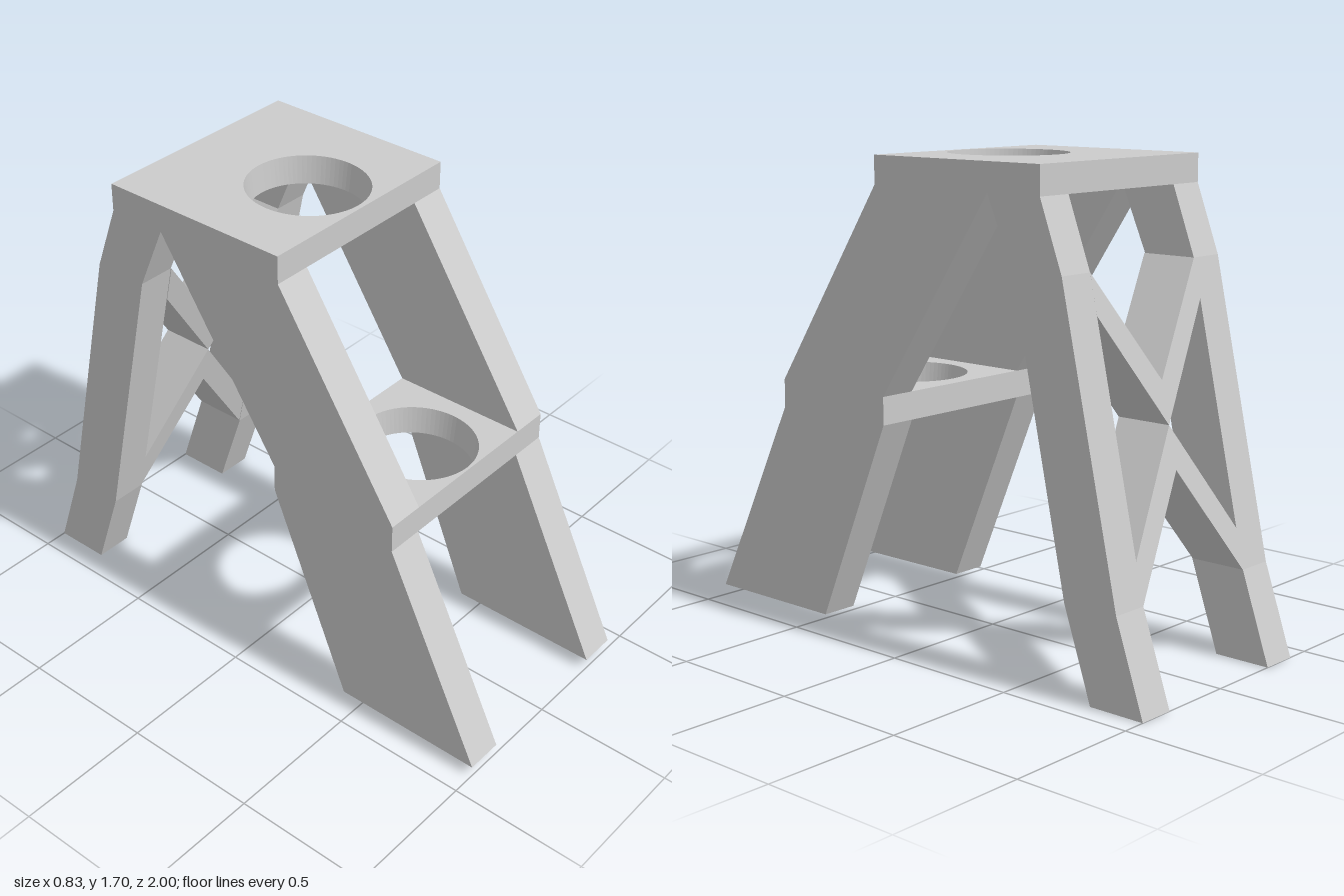
import * as THREE from 'three';

const OUT = 0.413, IN = 0.275; // outer and inner faces of the legs
const material = new THREE.MeshStandardMaterial({ color: 0xcccccc, flatShading: true });

function toShape(points) {
  return new THREE.Shape(points.map(([a, b]) => new THREE.Vector2(a, b)));
}

function addMesh(group, name, geometry) {
  geometry.computeVertexNormals();
  const mesh = new THREE.Mesh(geometry, material);
  mesh.name = name;
  group.add(mesh);
}

// Move every vertex by a rule
function deform(geometry, rule) {
  const p = geometry.attributes.position;
  const v = new THREE.Vector3();
  for (let i = 0; i < p.count; i++) {
    rule(v.fromBufferAttribute(p, i));
    p.setXYZ(i, v.x, v.y, v.z);
  }
  return geometry;
}

// Horizontal plate with a slightly oval hole that narrows downwards
function plate(y0, y1, zBack, zFront, holeZ) {
  const shape = toShape([[-OUT, -zFront], [OUT, -zFront], [OUT, -zBack], [-OUT, -zBack]]);
  const hole = new THREE.Path();
  hole.absellipse(0, -holeZ, 0.207, 0.215, 0, Math.PI * 2, true);
  shape.holes.push(hole);
  const g = new THREE.ExtrudeGeometry(shape, { depth: y1 - y0, bevelEnabled: false, curveSegments: 40 });
  g.rotateX(-Math.PI / 2);
  g.translate(0, y0, 0);
  return deform(g, (v) => {
    if (Math.abs(v.x) < 0.3 && v.y < (y0 + y1) / 2) {
      v.x *= 0.935;
      v.z = holeZ + (v.z - holeZ) * 0.955;
    }
  });
}

// Leg from a side profile of [z, y] points, extruded across x
function leg(points, side) {
  const g = new THREE.ExtrudeGeometry(toShape(points), { depth: OUT - IN, bevelEnabled: false });
  g.rotateY(-Math.PI / 2);
  g.translate(side > 0 ? OUT : -IN, 0, 0);
  return g;
}

// V-shaped half of the cross brace, sheared to follow the slope of the back legs
function chevron(tipY, notchY, outerY, innerY) {
  const pts = [[IN, outerY], [0, notchY], [-IN, outerY], [-IN, innerY], [0, tipY], [IN, innerY]];
  const g = new THREE.ExtrudeGeometry(toShape(pts), { depth: 0.208, bevelEnabled: false });
  return deform(g, (v) => { v.z += -0.89 + (v.y - 0.32) * 0.221; });
}

export function createModel() {
  const model = new THREE.Group();
  model.name = 'stepStool';

  // Top seat and lower step
  addMesh(model, 'topPlate', plate(1.6, 1.7, -0.57, 0.16, -0.073));
  addMesh(model, 'stepPlate', plate(0.78, 0.88, 0.13, 0.635, 0.41));

  // Legs, mirrored left and right
  const upperFront = [[0.16, 1.6], [0.635, 0.88], [0.13, 0.88], [-0.35, 1.6]];
  const lowerFront = [[0.635, 0.78], [1, 0.04], [0.44, 0.04], [0.13, 0.78]];
  const back = [[-0.35, 1.6], [-0.455, 1.36], [-0.68, 0.32], [-0.79, 0],
    [-1, 0], [-0.89, 0.32], [-0.66, 1.36], [-0.57, 1.6]];
  for (const side of [1, -1]) {
    const word = side > 0 ? 'left' : 'right';
    addMesh(model, word + 'UpperFrontLeg', leg(upperFront, side));
    addMesh(model, word + 'LowerFrontLeg', leg(lowerFront, side));
    addMesh(model, word + 'BackLeg', leg(back, side));
  }

  // Cross brace between the back legs
  addMesh(model, 'upperBrace', chevron(0.845, 0.99, 1.36, 1.225));
  addMesh(model, 'lowerBrace', chevron(0.845, 0.70, 0.32, 0.46));

  return model;
}
